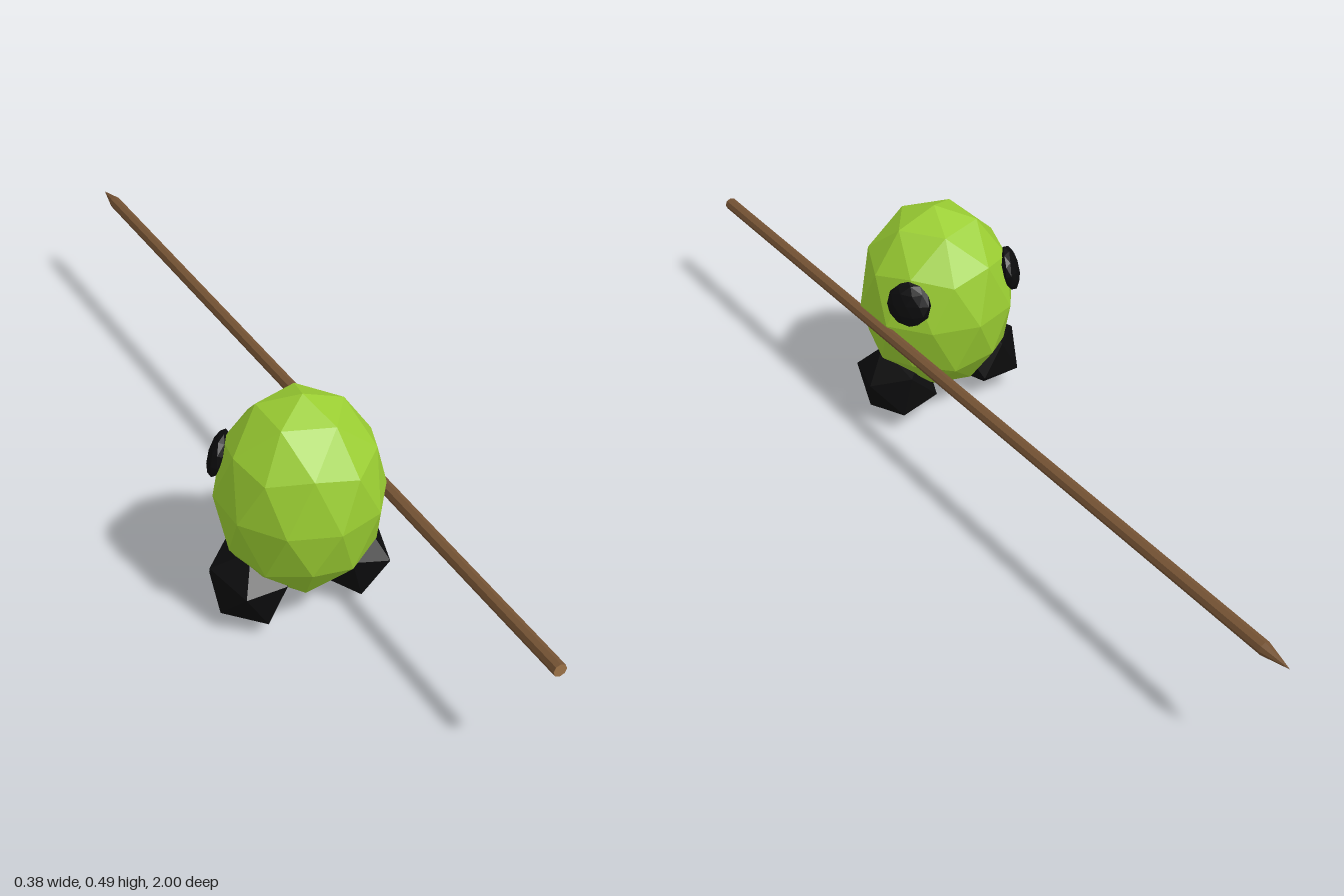
import * as THREE from 'three';

const PHI = (1 + Math.sqrt(5)) / 2;

export function createModel() {
  const model = new THREE.Group();
  model.name = 'spearCarrier';

  const flat = (name, color) => {
    const m = new THREE.MeshStandardMaterial({ color, flatShading: true });
    m.name = name;
    return m;
  };
  const green = flat('leafGreen', 0x9acd32);
  const black = flat('black', 0x0b0b0c);
  const wood = flat('wood', 0x755334);
  const cutWood = flat('cutWood', 0x9c7248);

  const add = (parent, name, geometry, material) => {
    const mesh = new THREE.Mesh(geometry, material);
    mesh.name = name;
    parent.add(mesh);
    return mesh;
  };

  // Body: faceted egg with a vertex at the top and bottom
  const bodyCentre = new THREE.Vector3(0, 0.27, 0.35);
  const bodyRadii = new THREE.Vector3(0.172, 0.22, 0.172);
  const bodyGeometry = new THREE.IcosahedronGeometry(1, 1)
    .rotateX(-Math.atan(PHI))
    .rotateY(Math.PI / 2)
    .scale(bodyRadii.x, bodyRadii.y, bodyRadii.z);
  add(model, 'body', bodyGeometry, green).position.copy(bodyCentre);

  // Feet: chunky icosahedra, a triangle facing forward, each turned differently
  for (const [name, side, turn] of [['leftFoot', 1, 15], ['rightFoot', -1, 33]]) {
    const geometry = new THREE.IcosahedronGeometry(0.085, 0)
      .rotateY(-Math.atan2(PHI, 2 * PHI + 1))
      .rotateZ(THREE.MathUtils.degToRad(turn))
      .scale(1, 1, 1.28);
    add(model, name, geometry, black).position.set(side * 0.112, 0.085, 0.35);
  }

  // Eyes: flattened faceted balls lying on the body
  for (const [name, side] of [['leftEye', 1], ['rightEye', -1]]) {
    const eye = add(model, name, new THREE.IcosahedronGeometry(0.05, 1).scale(1, 1, 0.4), black);
    eye.position.set(side * 0.13, 0.335, 0.255);
    const normal = eye.position.clone().sub(bodyCentre).divide(bodyRadii).divide(bodyRadii).normalize();
    eye.quaternion.setFromUnitVectors(new THREE.Vector3(0, 0, 1), normal);
  }

  // Spear: long shaft with a pointed tip, rising slightly toward the tip
  const spear = new THREE.Group();
  spear.name = 'spear';
  spear.position.set(0.165, 0.256, 0);
  spear.rotation.x = 0.006;
  model.add(spear);
  const shaft = new THREE.CylinderGeometry(0.014, 0.014, 1.935, 8).rotateX(-Math.PI / 2);
  add(spear, 'shaft', shaft, [wood, wood, cutWood]).position.z = 0.0325;
  const tip = new THREE.ConeGeometry(0.014, 0.065, 8).rotateX(-Math.PI / 2);
  add(spear, 'tip', tip, wood).position.z = -0.9675;

  return model;
}
